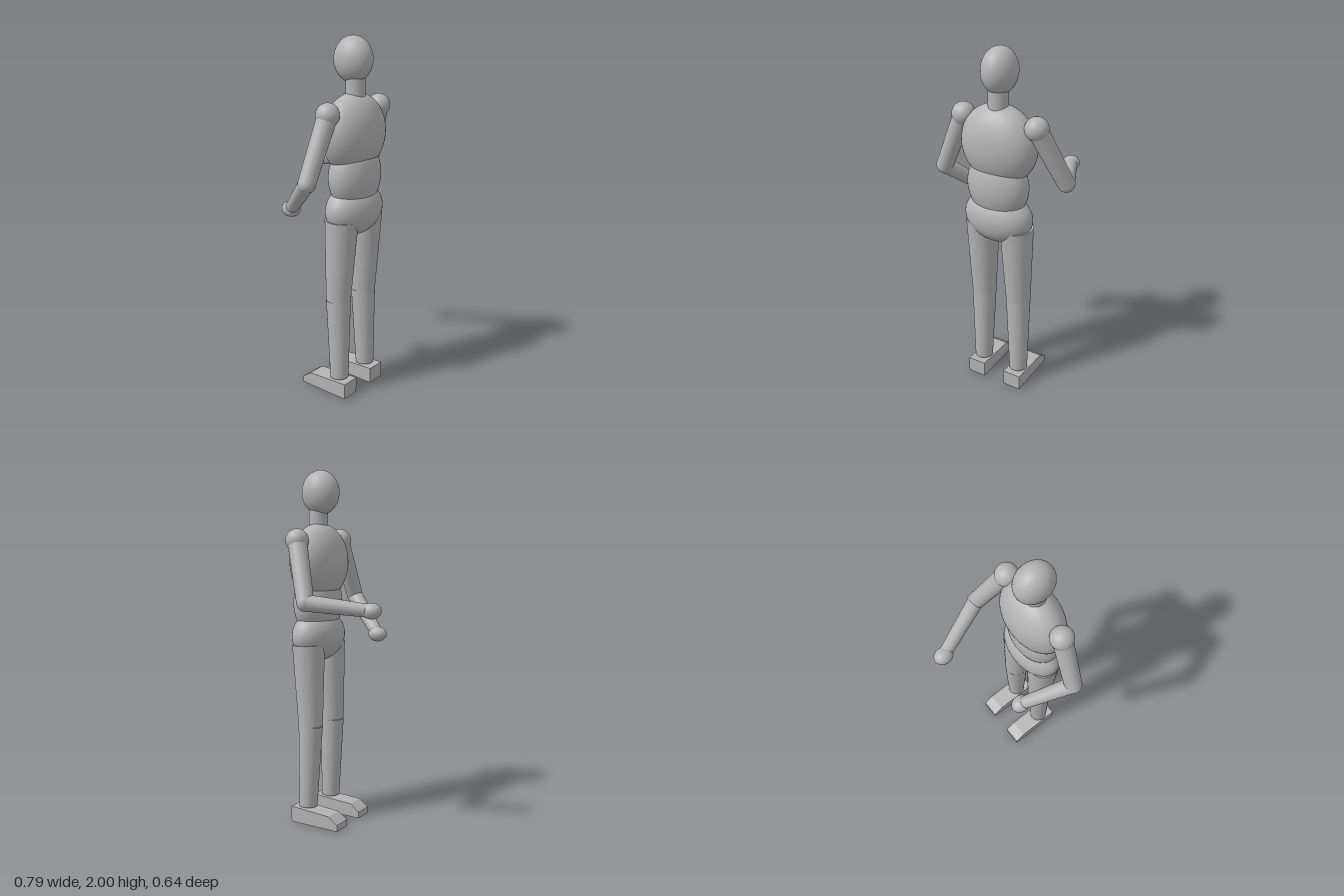
import * as THREE from 'three';

const grey = new THREE.MeshStandardMaterial({ color: 0xb4b4b4 });
grey.name = 'grey';
const UP = new THREE.Vector3(0, 1, 0);

function add(parent, name, geometry, position) {
  const mesh = new THREE.Mesh(geometry, grey);
  mesh.name = name;
  mesh.position.set(...position);
  parent.add(mesh);
  return mesh;
}

function ellipsoid(parent, name, position, radii) {
  add(parent, name, new THREE.SphereGeometry(1, 48, 32), position).scale.set(...radii);
}

// Tapered limb running from point a to point b
function limb(parent, name, a, b, ra, rb) {
  const from = new THREE.Vector3(...a);
  const to = new THREE.Vector3(...b);
  const dir = to.clone().sub(from);
  const mid = from.add(to).multiplyScalar(0.5);
  const mesh = add(parent, name, new THREE.CylinderGeometry(rb, ra, dir.length(), 40), mid.toArray());
  mesh.quaternion.setFromUnitVectors(UP, dir.normalize());
}

function addArm(parent, side, shoulder, elbow, hand) {
  const arm = new THREE.Group();
  arm.name = side + 'Arm';
  ellipsoid(arm, side + 'Shoulder', shoulder, [0.063, 0.063, 0.064]);
  limb(arm, side + 'UpperArm', shoulder, elbow, 0.053, 0.047);
  ellipsoid(arm, side + 'Elbow', elbow, [0.047, 0.047, 0.047]);
  limb(arm, side + 'Forearm', elbow, hand, 0.045, 0.035);
  ellipsoid(arm, side + 'Hand', hand, [0.047, 0.043, 0.055]);
  parent.add(arm);
}

function addLeg(parent, side, hip, knee, ankle, footX) {
  const leg = new THREE.Group();
  leg.name = side + 'Leg';
  limb(leg, side + 'Thigh', hip, knee, 0.092, 0.069);
  limb(leg, side + 'Shin', knee, ankle, 0.069, 0.052);

  // Foot side profile (heel to sloped toe), extruded across the width
  const width = 0.108;
  const profile = new THREE.Shape([
    [-0.27, 0], [0.04, 0], [0.04, 0.037], [-0.016, 0.077], [-0.27, 0.092],
  ].map(([z, y]) => new THREE.Vector2(z, y)));
  const foot = new THREE.ExtrudeGeometry(profile, { depth: width, bevelEnabled: false });
  foot.translate(0, 0, -width / 2);
  foot.rotateY(Math.PI / 2);
  add(leg, side + 'Foot', foot, [footX, 0, 0]);
  parent.add(leg);
}

export function createModel() {
  const figure = new THREE.Group();
  figure.name = 'mannequin';

  // Head and torso
  ellipsoid(figure, 'head', [0.015, 1.878, 0.171], [0.092, 0.122, 0.11]);
  limb(figure, 'neck', [0.015, 1.66, 0.187], [0.015, 1.82, 0.187], 0.053, 0.053);
  ellipsoid(figure, 'chest', [0.015, 1.493, 0.181], [0.218, 0.218, 0.137]);
  ellipsoid(figure, 'abdomen', [0.012, 1.265, 0.193], [0.178, 0.195, 0.118]);
  ellipsoid(figure, 'pelvis', [0.013, 1.08, 0.19], [0.2, 0.146, 0.125]);

  // Arms: one bent low by the hip, one reaching forward
  addArm(figure, 'right', [-0.203, 1.616, 0.18], [-0.35, 1.283, 0.165], [-0.213, 1.076, -0.07]);
  addArm(figure, 'left', [0.233, 1.616, 0.18], [0.343, 1.293, 0.055], [0.208, 1.255, -0.266]);

  // Legs and feet
  addLeg(figure, 'right', [-0.092, 1.035, 0.187], [-0.1, 0.57, 0.174], [-0.104, 0.098, 0.188], -0.105);
  addLeg(figure, 'left', [0.122, 1.035, 0.187], [0.126, 0.57, 0.174], [0.135, 0.098, 0.188], 0.135);

  return figure;
}
